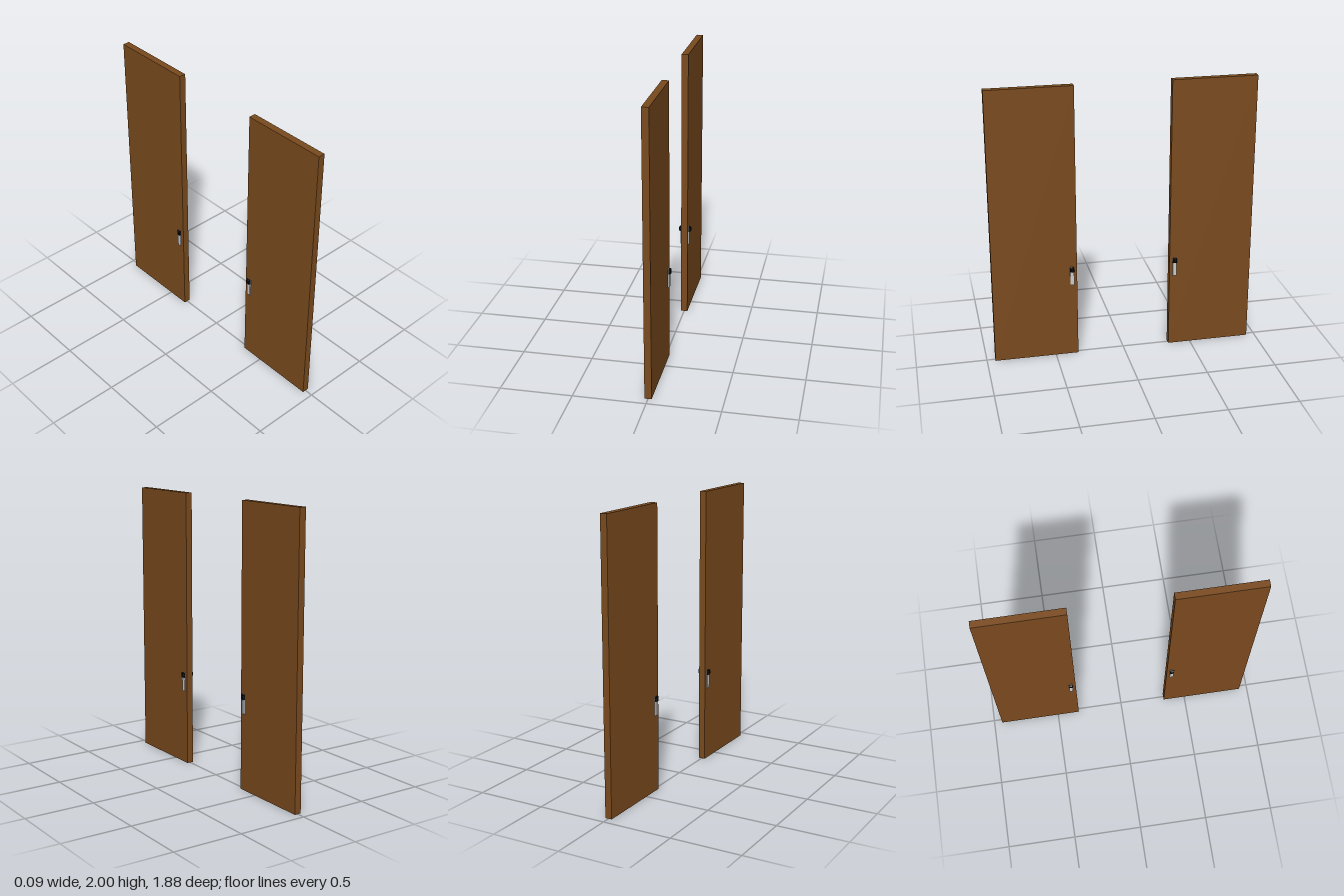
import * as THREE from 'three';

const wood = new THREE.MeshStandardMaterial({ color: 0x7a4a1e });
const metal = new THREE.MeshStandardMaterial({ color: 0xcccccc });
const black = new THREE.MeshStandardMaterial({ color: 0x0a0a0a, flatShading: true });

function box(name, material, size, position) {
  const mesh = new THREE.Mesh(new THREE.BoxGeometry(...size), material);
  mesh.name = name;
  mesh.position.set(...position);
  return mesh;
}

// Box whose outer (+x) face is drawn in, giving chamfered sides
function knobGeometry(depth, height, width) {
  const geometry = new THREE.BoxGeometry(depth, height, width, 2, 1, 1);
  const p = geometry.attributes.position;
  for (let i = 0; i < p.count; i++) {
    if (p.getX(i) > 0.001) {
      p.setY(i, p.getY(i) * 0.75);
      p.setZ(i, p.getZ(i) * 0.65);
    }
  }
  geometry.computeVertexNormals();
  return geometry;
}

// Back plate with a dark knob at its top, facing +x
function createHandle() {
  const handle = new THREE.Group();
  handle.name = 'handle';
  handle.add(box('handlePlate', metal, [0.012, 0.135, 0.027], [0.028, 0.618, 0]));
  const knob = new THREE.Mesh(knobGeometry(0.016, 0.036, 0.028), black);
  knob.name = 'handleKnob';
  knob.position.set(0.036, 0.668, 0);
  handle.add(knob);
  return handle;
}

// Panel with a handle on both faces, near the edge facing the gap
function createDoor(side) {
  const door = new THREE.Group();
  door.name = side > 0 ? 'frontDoor' : 'backDoor';
  door.add(box('doorPanel', wood, [0.048, 2, 0.603], [0, 1, side * 0.6385]));
  for (const turn of [0, Math.PI]) {
    const handle = createHandle();
    handle.rotation.y = turn;
    handle.position.z = side * 0.373;
    door.add(handle);
  }
  return door;
}

export function createModel() {
  const model = new THREE.Group();
  model.name = 'doublePanelDoor';
  for (const side of [1, -1]) model.add(createDoor(side));
  return model;
}
